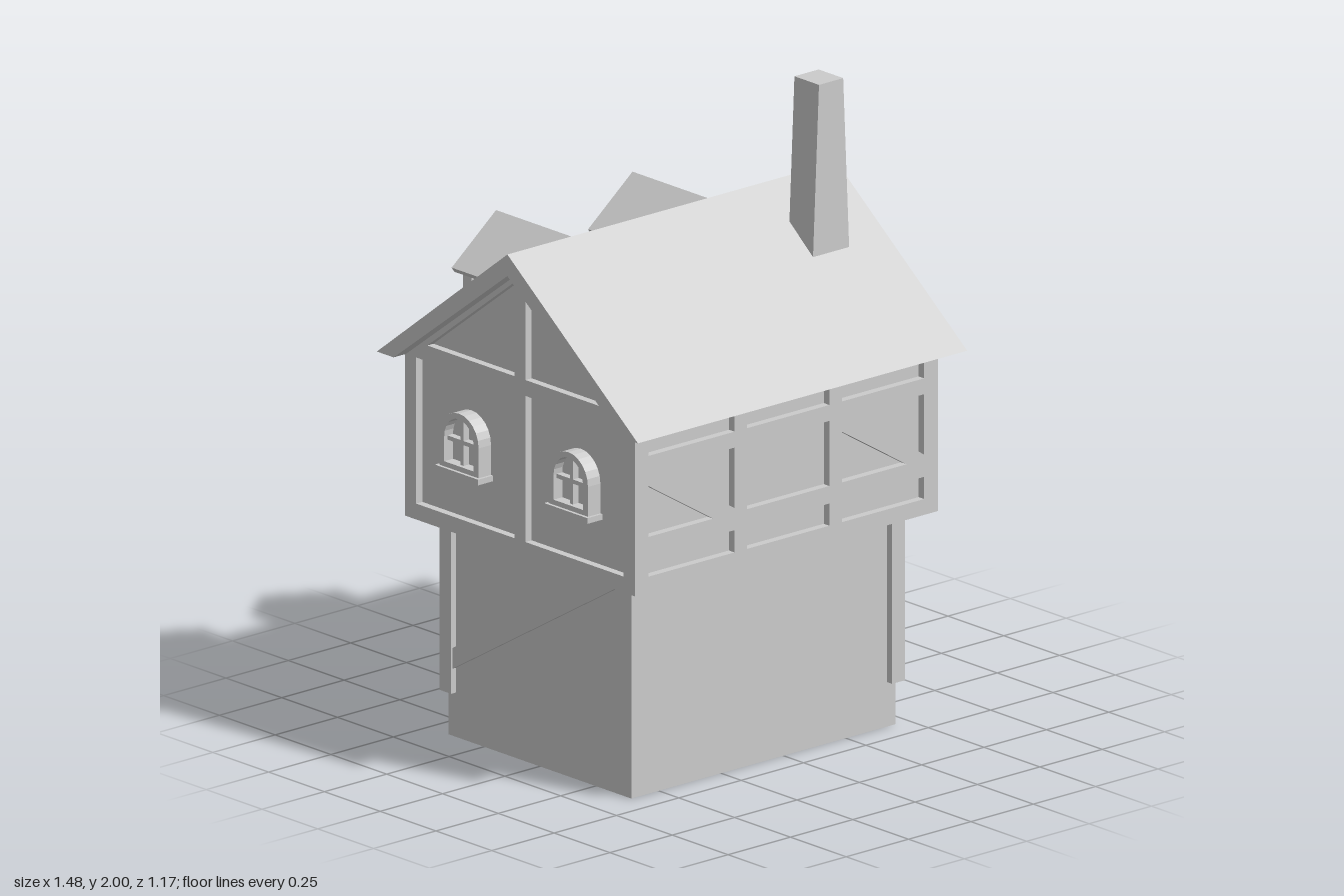
import * as THREE from 'three';

const mat = new THREE.MeshStandardMaterial({ color: 0xcccccc, flatShading: true, side: THREE.DoubleSide });

function add(parent, name, geo, x = 0, y = 0, z = 0) {
  const m = new THREE.Mesh(geo, mat);
  m.name = name;
  m.position.set(x, y, z);
  parent.add(m);
  return m;
}

// Box given by its limits
function box(parent, name, x0, x1, y0, y1, z0, z1) {
  return add(parent, name, new THREE.BoxGeometry(x1 - x0, y1 - y0, z1 - z0),
    (x0 + x1) / 2, (y0 + y1) / 2, (z0 + z1) / 2);
}

const vecs = (pts) => pts.map(([a, b]) => new THREE.Vector2(a, b));
const rect = (a0, a1, b0, b1) => [[a0, b0], [a1, b0], [a1, b1], [a0, b1]];
const flip = (pts) => pts.map(([a, b]) => [-a, b]);

function extrude(outline, holes, depth) {
  const s = new THREE.Shape(vecs(outline));
  holes.forEach((h) => s.holes.push(new THREE.Path(vecs(h))));
  return new THREE.ExtrudeGeometry(s, { depth, bevelEnabled: false });
}

// Outline in (z, y), extruded from x1 back towards -x
function extrudeX(parent, name, outline, holes, x1, depth) {
  const m = add(parent, name, extrude(outline, holes, depth), x1);
  m.rotation.y = -Math.PI / 2;
  return m;
}

// Arched outline: half width r, base y0, spring line y1, rise of the arch
function arch(r, y0, y1, rise = r, n = 12) {
  const pts = [[-r, y0], [r, y0]];
  for (let i = 0; i <= n; i++) {
    const t = (i / n) * Math.PI;
    pts.push([r * Math.cos(t), y1 + rise * Math.sin(t)]);
  }
  return pts;
}

// Window facing +z, base at y = 0, back on z = 0
function makeWindow(name, r, spring, rise, depth) {
  const g = new THREE.Group();
  g.name = name;
  const f = r * 0.25, h = spring + rise;
  add(g, 'windowFrame', extrude(arch(r, 0, spring, rise),
    [arch(r - f, f, spring, rise - f * 0.8)], depth));
  add(g, 'windowPane', extrude(arch(r - f / 2, f / 2, spring, rise - f / 2), [], depth * 0.3));
  const b = f * 0.3;
  box(g, 'mullion', -b, b, f / 2, h - f / 2, 0, depth * 0.75);
  box(g, 'glazingBar', -r + f / 2, r - f / 2, h * 0.5 - b, h * 0.5 + b, 0, depth * 0.75);
  box(g, 'windowSill', -r * 1.1, r * 1.1, -0.012, 0.006, 0, depth + 0.01);
  return g;
}

function lowerStorey(house) {
  const walls = add(house, 'lowerWalls', extrude(rect(-0.61, 0.45, -0.41, 0.41),
    [rect(-0.6, 0.44, -0.4, 0.4)], 0.69));
  walls.rotation.x = -Math.PI / 2;
  for (const [x0, x1] of [[-0.63, -0.575], [0.415, 0.467]])
    for (const [z0, z1] of [[0.38, 0.433], [-0.428, -0.375]])
      box(house, 'cornerPost', x0, x1, 0.14, 0.69, z0, z1);
  // Diagonal braces on both ends
  const brace = [[0.38, 0.665], [0.38, 0.69], [0.29, 0.69], [-0.38, 0.28], [-0.38, 0.215]];
  extrudeX(house, 'rightEndBrace', brace, [], 0.463, 0.02);
  extrudeX(house, 'leftEndBrace', brace, [], -0.605, 0.02);
  // Rear doorway
  for (const x of [0.135, -0.265])
    box(house, 'doorPost', x - 0.024, x + 0.024, 0.14, 0.69, -0.43, -0.4);
  const outer = arch(0.135, 0.21, 0.455, 0.135);
  const inner = arch(0.085, 0.21, 0.455, 0.085);
  const ring = [...outer.slice(1), outer[0], inner[0], ...inner.slice(1).reverse()];
  add(house, 'doorArch', extrude(ring, [], 0.05), -0.065, 0, -0.455);
}

function upperStorey(house) {
  // Recessed infill
  extrudeX(house, 'upperInfill',
    [[-0.49, 0.69], [0.49, 0.69], [0.49, 1.21], [0, 1.585], [-0.49, 1.21]], [], 0.5, 1.165);

  // Long timber frames, front and back
  const holes = [];
  for (const [a, b] of [[-0.635, -0.29], [-0.24, 0.09], [0.14, 0.47]]) {
    holes.push(rect(a, b, 0.73, 0.8), rect(a, b, 1.11, 1.2));
    if (a === -0.24) holes.push(rect(a, b, 0.855, 1.06));
    else holes.push([[a, 0.855], [a + 0.26, 0.855], [a, 1.015]],
      [[a + 0.035, 1.06], [b, 0.87], [b, 1.06]]);
  }
  const long = extrude(rect(-0.69, 0.525, 0.68, 1.225), holes, 0.025);
  add(house, 'frontTimberFrame', long, 0, 0, 0.49);
  add(house, 'backTimberFrame', long, 0, 0, -0.515);

  // Gable timber frames
  const tri = [[0.025, 1.24], [0.415, 1.24], [0.025, 1.535]];
  const panel = rect(0.025, 0.465, 0.73, 1.19);
  const gable = [[-0.515, 0.68], [0.515, 0.68], [0.515, 1.21], [0, 1.595], [-0.515, 1.21]];
  for (const [name, x] of [['rightGableFrame', 0.525], ['leftGableFrame', -0.665]])
    extrudeX(house, name, gable, [panel, flip(panel), tri, flip(tri)], x, 0.025);

  // Arched windows on the left gable
  for (const z of [-0.245, 0.245]) {
    const w = makeWindow('gableWindow', 0.088, 0.1, 0.088, 0.05);
    w.rotation.y = -Math.PI / 2;
    w.position.set(-0.665, 0.885, z);
    house.add(w);
  }
  // Wide window at the back
  const w = makeWindow('backWindow', 0.115, 0.14, 0.03, 0.045);
  w.rotation.y = Math.PI;
  w.position.set(-0.075, 0.885, -0.49);
  house.add(w);
}

function bay(house) {
  const g = new THREE.Group();
  g.name = 'bayWindow';
  house.add(g);
  box(g, 'bayInfill', 0.5, 0.675, 0.8, 1.2, -0.237, 0.242);
  extrudeX(g, 'bayFrontFrame', rect(-0.255, 0.26, 0.79, 1.2),
    [rect(-0.205, 0.21, 0.84, 0.94), rect(-0.205, 0.21, 0.99, 1.17)], 0.695, 0.025);
  const profile = [[0.51, 0.79], [0.695, 0.79], [0.695, 1.185], [0.51, 1.26]];
  for (const z of [-0.255, 0.24])
    add(g, 'baySideFrame', extrude(profile, [rect(0.53, 0.64, 0.84, 1.18)], 0.02), 0, 0, z);
  add(g, 'bayRoof', extrude([[0.51, 1.25], [0.735, 1.167], [0.742, 1.187], [0.51, 1.275]], [], 0.535),
    0, 0, -0.268);
}

function roof(house) {
  extrudeX(house, 'mainRoof', [[-0.585, 1.19], [-0.51, 1.19], [0, 1.572], [0.51, 1.19],
    [0.585, 1.19], [0, 1.64]], [], 0.58, 1.32);

  // Tapered chimney
  const geo = new THREE.BoxGeometry(0.145, 0.54, 0.11);
  const p = geo.attributes.position;
  for (let i = 0; i < p.count; i++) if (p.getY(i) > 0) p.setX(i, p.getX(i) * 0.67);
  add(house, 'chimney', geo, 0.352, 1.73, 0.175);

  for (const x of [-0.347, 0.2]) {
    const g = new THREE.Group();
    g.name = 'dormer';
    g.position.x = x;
    house.add(g);
    add(g, 'dormerWalls', extrude([[-0.13, 1.27], [0.13, 1.27], [0.13, 1.44], [0, 1.555], [-0.13, 1.44]],
      [], 0.325), 0, 0, -0.455);
    add(g, 'dormerRoof', extrude([[-0.178, 1.43], [-0.168, 1.415], [0, 1.545], [0.168, 1.415],
      [0.178, 1.43], [0, 1.572]], [], 0.38), 0, 0, -0.49);
    for (const s of [-1, 1])
      box(g, 'dormerPost', s * 0.125 - 0.018, s * 0.125 + 0.018, 1.255, 1.447, -0.478, -0.44);
    const w = makeWindow('dormerWindow', 0.058, 0.09, 0.058, 0.04);
    w.rotation.y = Math.PI;
    w.position.set(0, 1.33, -0.455);
    g.add(w);
  }
}

export function createModel() {
  const house = new THREE.Group();
  house.name = 'timberHouse';
  lowerStorey(house);
  upperStorey(house);
  bay(house);
  roof(house);
  return house;
}
